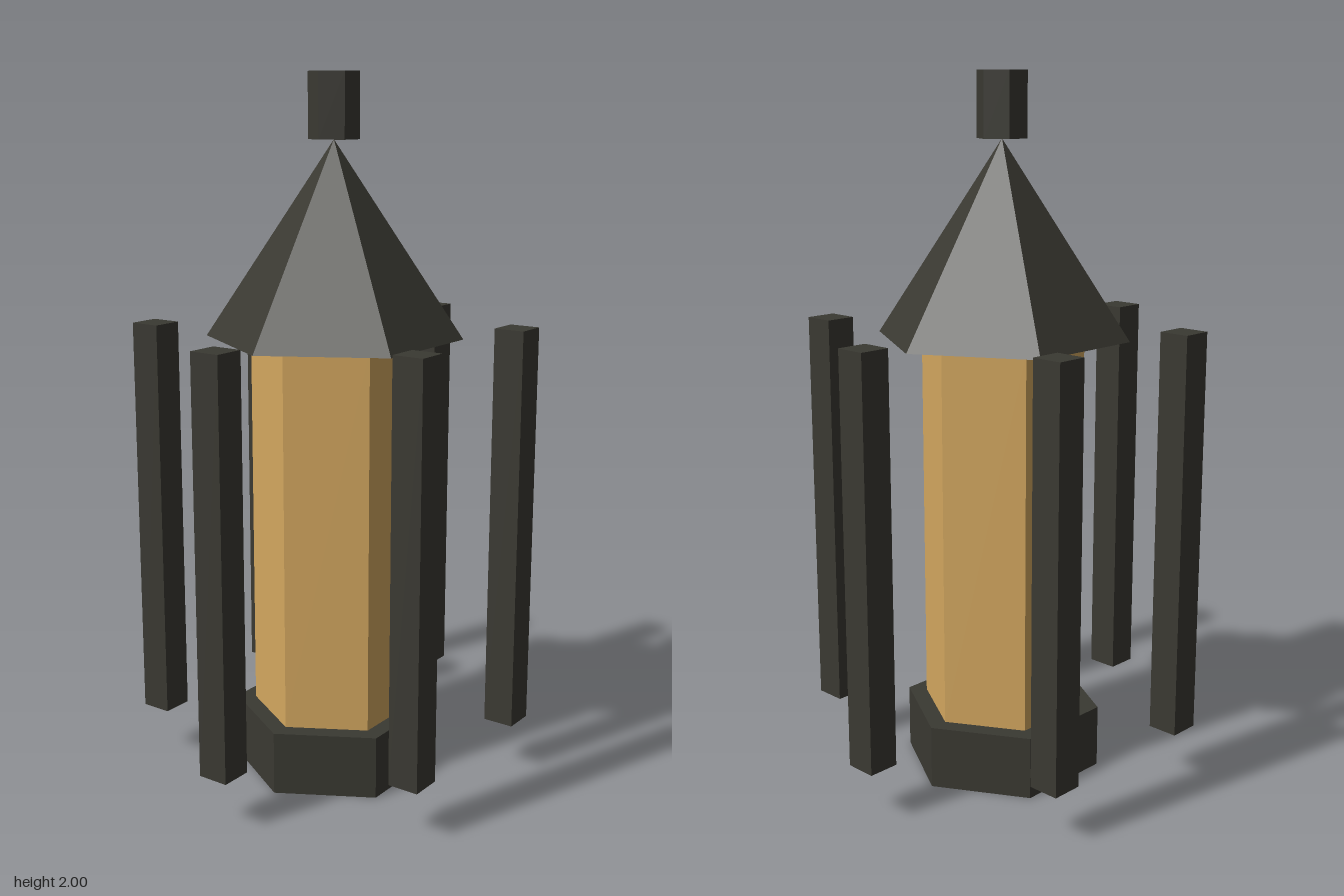
import * as THREE from 'three';

export function createModel() {
  const lantern = new THREE.Group();
  lantern.name = 'lantern';

  const iron = new THREE.MeshStandardMaterial({ color: 0x3a3932, flatShading: true });
  iron.name = 'dark iron';
  const amber = new THREE.MeshStandardMaterial({ color: 0xd4a860, flatShading: true });
  amber.name = 'amber glass';

  // Six-sided prism or pyramid between two heights, with corners on the x axis
  function hexPart(name, topRadius, bottomRadius, y0, y1, material) {
    const height = y1 - y0;
    const geometry = topRadius > 0
      ? new THREE.CylinderGeometry(topRadius, bottomRadius, height, 6)
      : new THREE.ConeGeometry(bottomRadius, height, 6);
    geometry.rotateY(Math.PI / 6);
    const mesh = new THREE.Mesh(geometry, material);
    mesh.name = name;
    mesh.position.y = (y0 + y1) / 2;
    lantern.add(mesh);
  }

  hexPart('base', 0.29, 0.29, 0, 0.182, iron);
  hexPart('glass', 0.235, 0.235, 0.182, 1.275, amber);
  hexPart('roof', 0, 0.362, 1.275, 1.82, iron);
  hexPart('finial', 0.071, 0.071, 1.82, 2, iron);

  // Ring of free-standing square posts, all aligned with the axes
  const posts = new THREE.Group();
  posts.name = 'posts';
  const postGeometry = new THREE.BoxGeometry(0.09, 1.162, 0.09);
  for (let i = 0; i < 6; i++) {
    const angle = (i * Math.PI) / 3;
    const post = new THREE.Mesh(postGeometry, iron);
    post.name = 'post';
    post.position.set(Math.cos(angle) * 0.509, 0.729, Math.sin(angle) * 0.509);
    posts.add(post);
  }
  lantern.add(posts);

  return lantern;
}
